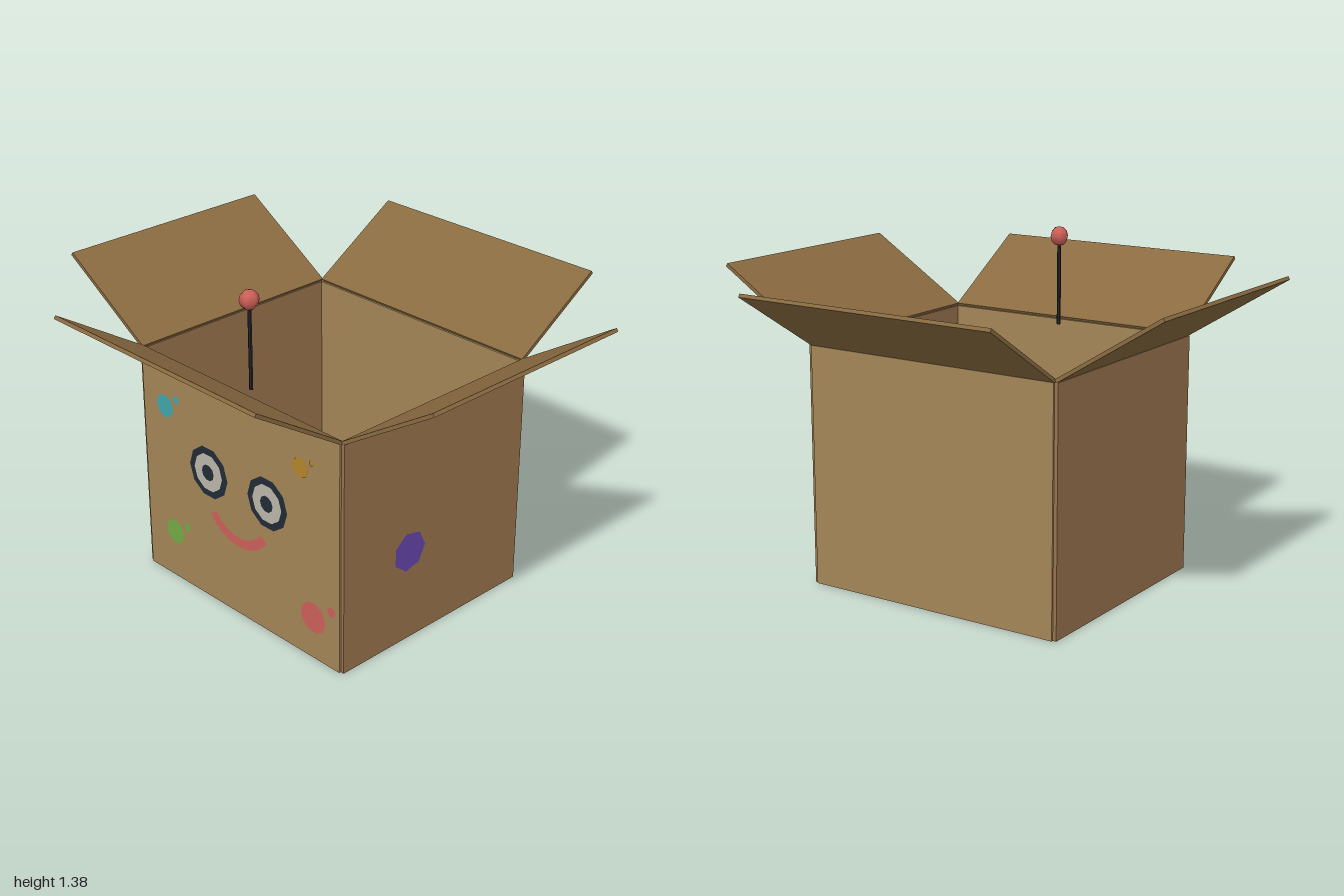
import * as THREE from 'three';

const mat = (color, flatShading = true) => new THREE.MeshStandardMaterial({ color, flatShading });
const wallMat = mat(0xa48657), sideMat = mat(0x98734c), flapMat = mat(0x8a6b41);
const darkMat = mat(0x222b36), redMat = mat(0xcc5f58);

const W = 0.575, D = 0.5, H = 0.982, T = 0.015; // half width, half depth, height, board thickness

function add(parent, name, geometry, material, x = 0, y = 0, z = 0) {
  const mesh = new THREE.Mesh(geometry, material);
  mesh.name = name;
  mesh.position.set(x, y, z);
  parent.add(mesh);
  return mesh;
}

// Open flap, hinged at the rim and tilted up and outward along local +x
function addFlap(parent, name, reach, width, out, turn) {
  const tilt = 0.56, length = reach / Math.cos(tilt);
  const hinge = new THREE.Group();
  hinge.name = name;
  hinge.rotation.y = turn;
  const board = new THREE.BoxGeometry(length, T, width);
  board.translate(length / 2, T / 2, 0);
  add(hinge, name + 'Board', board, flapMat, out, H - 0.002, 0).rotation.z = tilt;
  parent.add(hinge);
}

export function createModel() {
  const model = new THREE.Group();
  model.name = 'cardboardBox';

  // Floor and walls
  add(model, 'floor', new THREE.BoxGeometry(2 * W - 0.02, T, 2 * D - 0.02), flapMat, 0, T / 2, 0);
  for (const s of [1, -1]) {
    add(model, s > 0 ? 'frontWall' : 'backWall',
      new THREE.BoxGeometry(2 * (W - T), H, T), wallMat, 0, H / 2, s * (D - T / 2));
    add(model, s > 0 ? 'leftWall' : 'rightWall',
      new THREE.BoxGeometry(T, H, 2 * (D - 0.008)), sideMat, s * (W - T / 2), H / 2, 0);
  }

  // Four flaps
  addFlap(model, 'leftFlap', 0.432, 0.986, 0.568, 0);
  addFlap(model, 'rightFlap', 0.432, 0.986, 0.568, Math.PI);
  addFlap(model, 'frontFlap', 0.405, 1.125, 0.495, -Math.PI / 2);
  addFlap(model, 'backFlap', 0.405, 1.125, 0.495, Math.PI / 2);

  // Painted face
  const face = new THREE.Group();
  face.name = 'face';
  face.position.z = D;
  model.add(face);
  const white = mat(0xbdb6a9);
  for (const x of [-0.17, 0.17]) {
    add(face, 'eyeRim', new THREE.CircleGeometry(0.112, 10), darkMat, x, 0.58, 0.003);
    add(face, 'eyeWhite', new THREE.CircleGeometry(0.082, 10), white, x, 0.58, 0.005);
    add(face, 'pupil', new THREE.CircleGeometry(0.035, 10), darkMat, x, 0.58, 0.007);
  }
  const half = 0.95;
  add(face, 'smile', new THREE.RingGeometry(0.158, 0.2, 12, 1, 1.5 * Math.PI - half, 2 * half),
    redMat, 0, 0.515, 0.003);

  // Paint spots, each with a small droplet: [color, x, y, r, droplet x, y, r]
  const spots = [
    [0x40a6aa, -0.425, 0.78, 0.05, -0.355, 0.83, 0.018],
    [0xb4862a, 0.355, 0.81, 0.042, 0.415, 0.85, 0.013],
    [0x74aa44, -0.395, 0.215, 0.055, -0.315, 0.27, 0.02],
    [0xcc5f58, 0.42, 0.185, 0.068, 0.52, 0.255, 0.022],
  ];
  for (const [color, x, y, r, dx, dy, dr] of spots) {
    const paint = mat(color);
    add(face, 'paintSpot', new THREE.CircleGeometry(r, 9), paint, x, y, 0.003);
    add(face, 'paintDroplet', new THREE.CircleGeometry(dr, 7), paint, dx, dy, 0.003);
  }
  add(model, 'sideSpot', new THREE.CircleGeometry(0.085, 7), mat(0x6644aa), W + 0.003, 0.396, 0.143)
    .rotation.y = Math.PI / 2;

  // Antenna
  add(model, 'antennaRod', new THREE.CylinderGeometry(0.008, 0.008, 0.36, 6), mat(0x22262c), 0, 1.155, 0.42);
  add(model, 'antennaBall', new THREE.SphereGeometry(0.04, 6, 6), mat(0xcc5f58, false), 0, 1.343, 0.42);

  return model;
}
